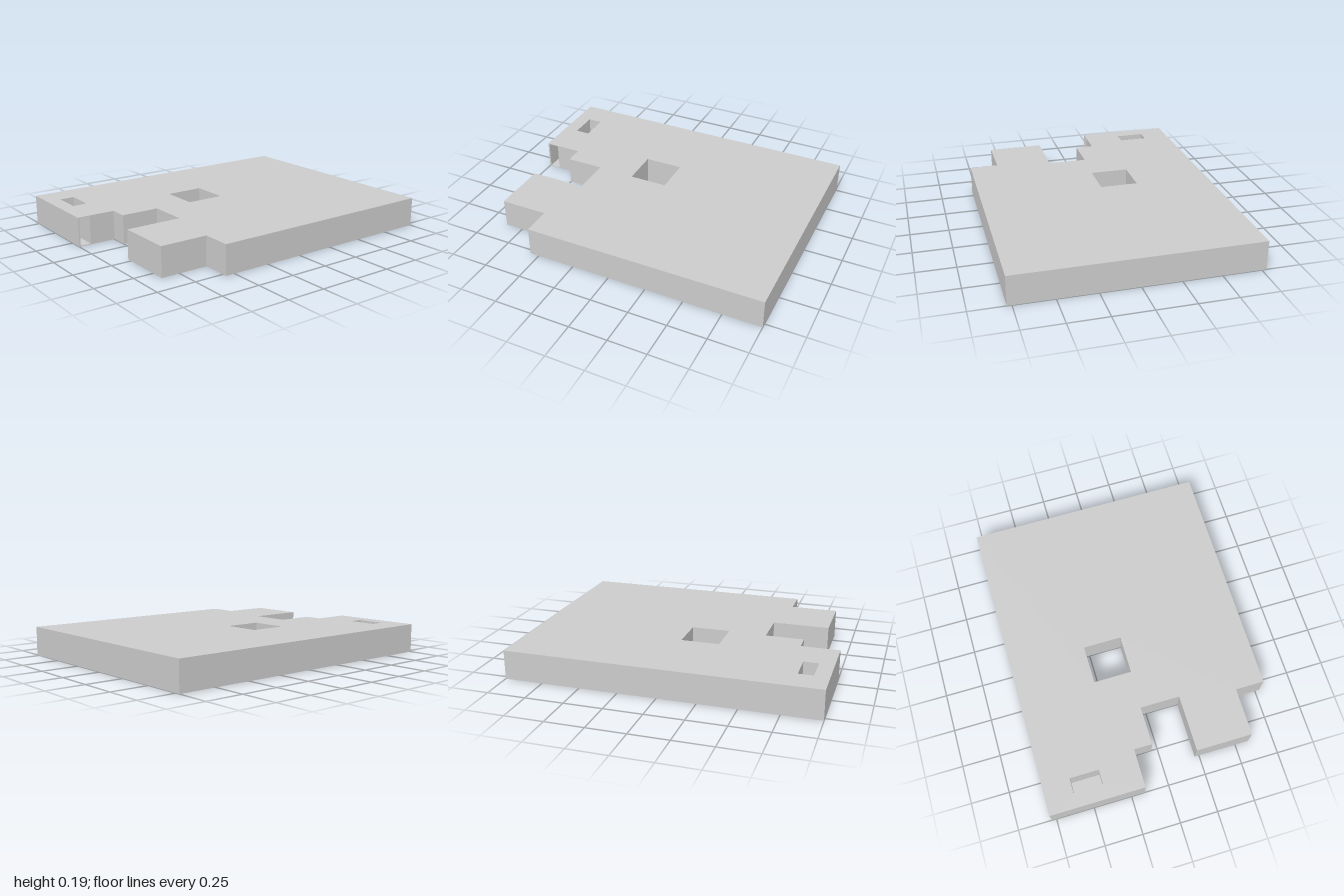
import * as THREE from 'three';
import { mergeGeometries } from 'three/addons/utils/BufferGeometryUtils.js';

const H = 0.19;

// Outline in [x, z]; the side between last and first point carries the slot
const OUTLINE = [
  [-1, -0.16], [-1, -0.78], [1, -0.78], [1, 0.78], [-0.56, 0.78], [-0.56, 0.59],
  [-0.87, 0.59], [-0.87, 0.22], [-0.5, 0.22], [-0.5, -0.04], [-0.75, -0.04], [-0.75, -0.16],
];
const rect = (x0, x1, y0, y1) => [[x0, y0], [x1, y0], [x1, y1], [x0, y1]];
const WINDOW = rect(-0.25, 0, -0.28, -0.03);
const POCKET = rect(-0.905, -0.81, -0.6, -0.41);
const SLOT = rect(-0.99, -0.92, 0.005, 0.185);

// Flat face with holes, in the xy plane facing +z
function face(points, holes, flip = 1) {
  const vectors = (list) => list.map(([x, y]) => new THREE.Vector2(x, y * flip));
  const shape = new THREE.Shape(vectors(points));
  shape.holes = holes.map((hole) => new THREE.Path(vectors(hole)));
  return new THREE.ShapeGeometry(shape);
}

// Upright walls along a path of [x, z] points
function walls(path) {
  const v = [];
  for (let i = 0; i < path.length - 1; i++) {
    const [ax, az] = path[i], [bx, bz] = path[i + 1];
    v.push(ax, 0, az, ax, H, az, bx, H, bz, ax, 0, az, bx, H, bz, bx, 0, bz);
  }
  const geo = new THREE.BufferGeometry();
  geo.setAttribute('position', new THREE.Float32BufferAttribute(v, 3));
  return geo;
}

// Inward-facing box with one side left open (2 = top, 4 = front)
function recess(x0, x1, y0, y1, z0, z1, open) {
  const box = new THREE.BoxGeometry(x1 - x0, y1 - y0, z1 - z0);
  const index = Array.from(box.index.array);
  index.splice(open * 6, 6);
  box.setIndex(index.reverse());
  return box.translate((x0 + x1) / 2, (y0 + y1) / 2, (z0 + z1) / 2);
}

// Joins surfaces with flat normals
function join(parts) {
  return mergeGeometries(parts.map((part) => {
    const geo = part.index ? part.toNonIndexed() : part;
    geo.deleteAttribute('uv');
    geo.computeVertexNormals();
    return geo;
  }));
}

export function createModel() {
  const group = new THREE.Group();
  const material = new THREE.MeshStandardMaterial({ color: 0xcccccc, flatShading: true });
  const add = (name, ...parts) => {
    const mesh = new THREE.Mesh(join(parts), material);
    mesh.name = name;
    group.add(mesh);
  };

  // Slab: top, underside, outer sides, window sides and slotted face
  add('slab',
    face(OUTLINE, [WINDOW, POCKET], -1).rotateX(-Math.PI / 2).translate(0, H, 0),
    face(OUTLINE, [WINDOW]).rotateX(Math.PI / 2),
    walls(OUTLINE),
    walls([...WINDOW, WINDOW[0]].reverse()),
    face(rect(-1, -0.75, 0, H), [SLOT]).translate(0, 0, -0.16));

  // Blind pocket in the top
  add('topPocket', recess(-0.905, -0.81, 0.02, H, -0.6, -0.41, 2));

  // Narrow slot entering from the front-facing step
  add('sideSlot', recess(-0.99, -0.92, 0.005, 0.185, -0.4, -0.16, 4));

  return group;
}
